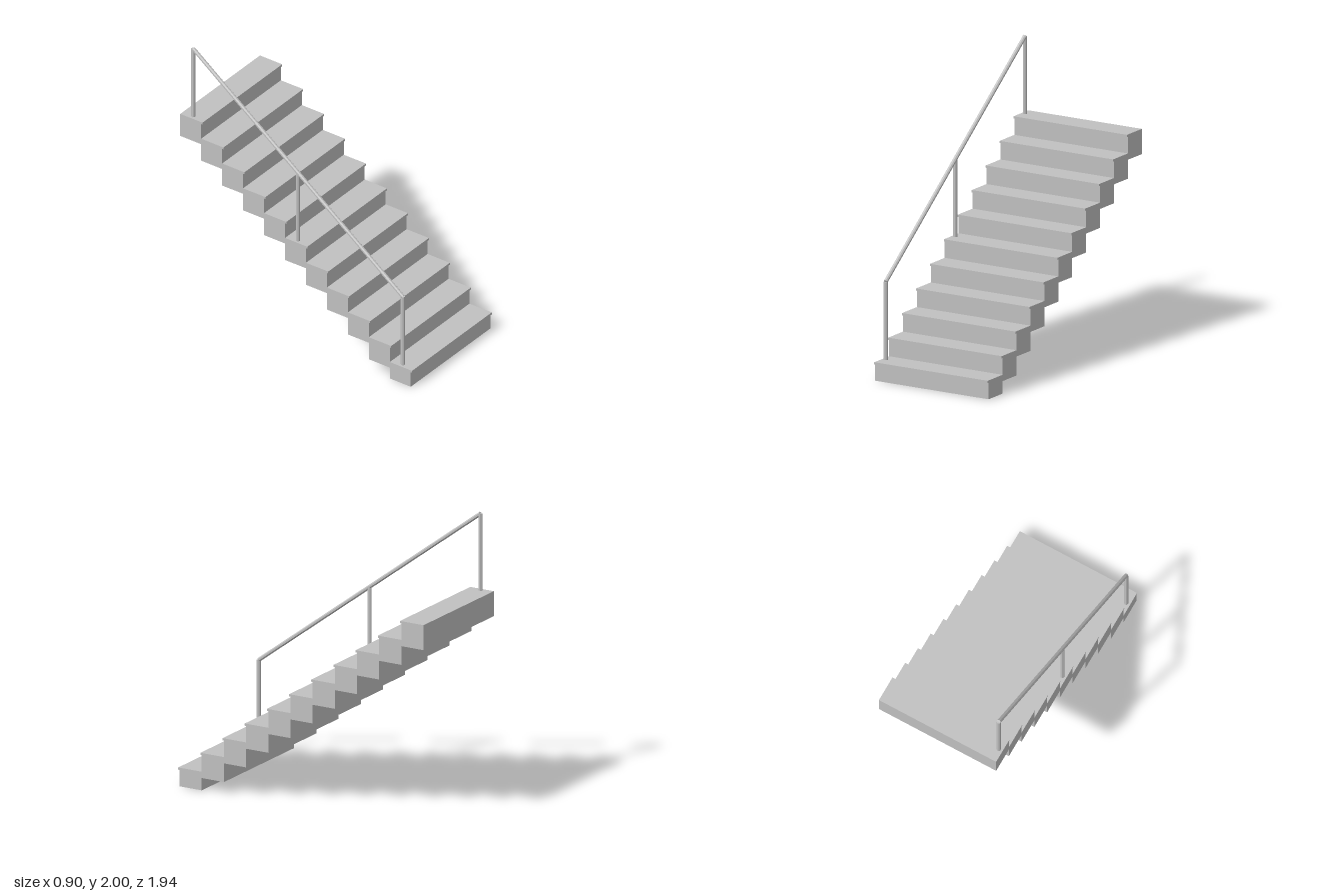
import * as THREE from 'three';

const STEPS = 11, RUN = 0.175, RISE = 0.1317, FIRST_TOP = 0.131;
const WIDTH = 0.904, FRONT = 0.957, BLOCK = 0.176, NOSE = 0.011, TREAD = 0.0155;
const RAIL_X = -0.423, RADIUS = 0.0145;

export function createModel() {
  const group = new THREE.Group();
  group.name = 'staircase';
  const grey = new THREE.MeshStandardMaterial({ color: 0xc0c0c0, flatShading: true });
  grey.name = 'light grey';

  const add = (name, geometry, parent) => {
    const mesh = new THREE.Mesh(geometry, grey);
    mesh.name = name;
    parent.add(mesh);
    return mesh;
  };

  // Eight-sided bar between two points
  const bar = (name, a, b, parent) => {
    const dir = b.clone().sub(a);
    const geometry = new THREE.CylinderGeometry(RADIUS, RADIUS, dir.length(), 8);
    geometry.rotateY(Math.PI / 8);
    const mesh = add(name, geometry, parent);
    mesh.position.copy(a).add(b).multiplyScalar(0.5);
    mesh.quaternion.setFromUnitVectors(new THREE.Vector3(0, 1, 0), dir.normalize());
  };

  const topOf = (i) => FIRST_TOP + i * RISE;
  const midOf = (i) => FRONT - (i + 0.5) * RUN;

  // Solid steps, each with a thin tread overhanging at the front
  const stairs = new THREE.Group();
  stairs.name = 'steps';
  group.add(stairs);
  for (let i = 0; i < STEPS; i++) {
    const under = topOf(i) - TREAD;
    const bottom = Math.max(0, topOf(i) - BLOCK);
    add('stepBlock', new THREE.BoxGeometry(WIDTH, under - bottom, RUN), stairs)
      .position.set(0, (under + bottom) / 2, midOf(i));
    add('tread', new THREE.BoxGeometry(WIDTH, TREAD, RUN + NOSE), stairs)
      .position.set(0, under + TREAD / 2, midOf(i) + NOSE / 2);
  }

  // Handrail on the right side with three posts
  const handrail = new THREE.Group();
  handrail.name = 'handrail';
  group.add(handrail);
  const railPoint = (i) => new THREE.Vector3(RAIL_X, 0.673 + i * 0.1315, midOf(i));
  for (const i of [0, 5, 10]) {
    bar('post', new THREE.Vector3(RAIL_X, topOf(i), midOf(i)), railPoint(i), handrail);
  }
  bar('rail', railPoint(0), railPoint(STEPS - 1), handrail);

  return group;
}
